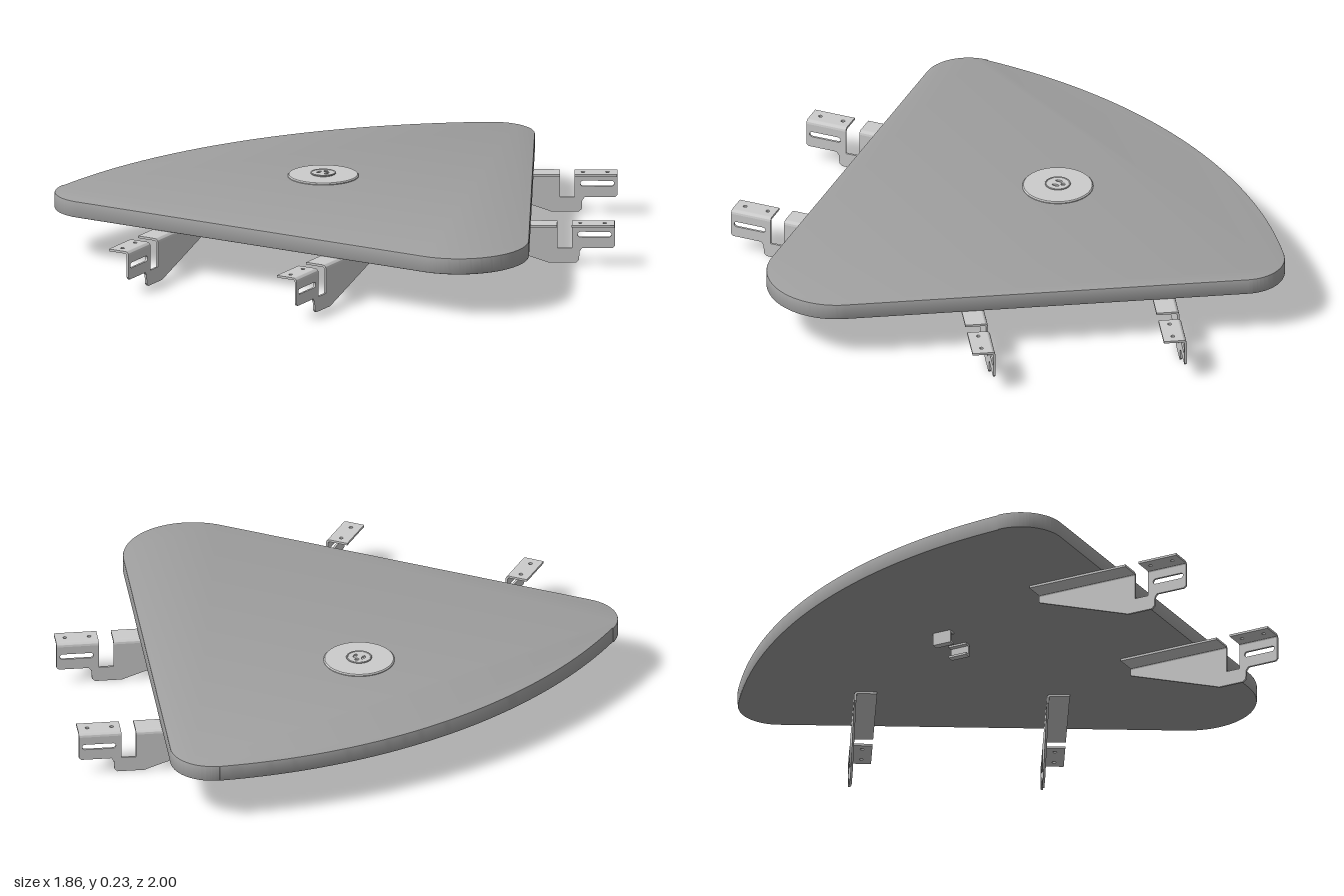
import * as THREE from 'three';
import { toCreasedNormals } from 'three/addons/utils/BufferGeometryUtils.js';

const metal = new THREE.MeshStandardMaterial({ color: 0xcccccc });
const board = new THREE.MeshStandardMaterial({ color: 0xa0a0a0 });
const rad = THREE.MathUtils.degToRad;

function addMesh(parent, name, geometry, material = metal) {
  const mesh = new THREE.Mesh(toCreasedNormals(geometry, rad(30)), material);
  mesh.name = name;
  parent.add(mesh);
  return mesh;
}

const extrude = (shape, depth, options = {}) =>
  new THREE.ExtrudeGeometry(shape, { depth, bevelEnabled: false, curveSegments: 16, ...options });

const polygon = (points) => new THREE.Shape(points.map(([x, y]) => new THREE.Vector2(x, y)));

function circleHole(x, y, rx, ry = rx, turn = 0) {
  return new THREE.Path().absellipse(x, y, rx, ry, 0, Math.PI * 2, true, turn);
}

// Rounded three-sided tabletop: two straight edges and one bowed edge
function createTabletop(parent) {
  const s = new THREE.Shape();
  s.moveTo(-0.77, -0.7);
  s.absarc(0.66, -0.45, 0.25, rad(-90), rad(30), false);
  s.absarc(0.03, 0.85, 0.15, rad(30), rad(123), false);
  s.absarc(0.992, -0.635, 1.921, rad(123), rad(177), false);
  s.absarc(-0.77, -0.54, 0.16, rad(177), rad(270), false);
  const b = 0.005;
  const geo = extrude(s, 0.06 - 2 * b, {
    curveSegments: 40, bevelEnabled: true, bevelSize: b, bevelOffset: -b, bevelThickness: b, bevelSegments: 2,
  });
  geo.rotateX(-Math.PI / 2).translate(0, 0.157 + b, 0);
  addMesh(parent, 'tabletop', geo, board);
}

// Sheet-metal bracket; local origin is the outer end of the upright plate, +z points outward
function createBracket(name) {
  const bracket = new THREE.Group();
  bracket.name = name;
  const t = 0.008, top = 0.157, r = 0.014, width = 0.082;

  const plate = polygon([
    [-0.59, top - r], [-0.59, 0.122], [-0.245, 0.004], [-0.235, 0], [-0.138, 0], [-0.127, 0.01],
    [-0.125, 0.042], [-0.116, 0.054], [-0.008, 0.054], [0, 0.062], [0, top - r],
    [-0.152, top - r], [-0.152, 0.054], [-0.204, 0.054], [-0.204, top - r],
  ]);
  const slot = new THREE.Path();
  slot.absarc(-0.022, 0.104, 0.01, Math.PI / 2, -Math.PI / 2, true);
  slot.absarc(-0.122, 0.104, 0.01, -Math.PI / 2, -Math.PI * 1.5, true);
  plate.holes.push(slot);
  addMesh(bracket, 'uprightPlate', extrude(plate, t).rotateY(-Math.PI / 2));

  // Rounded bend and flat flange along each run of the plate
  for (const [part, z0, z1, holes] of [
    ['inner', -0.59, -0.204, []],
    ['outer', -0.152, 0, [-0.122, -0.035]],
  ]) {
    const bend = new THREE.Shape();
    bend.absarc(-r, top - r, r, 0, Math.PI / 2, false);
    bend.absarc(-r, top - r, r - t, Math.PI / 2, 0, true);
    addMesh(bracket, part + 'Bend', extrude(bend, z1 - z0).translate(0, 0, z0));

    const flange = polygon([[-width, -z1], [-r, -z1], [-r, -z0], [-width, -z0]]);
    for (const z of holes) flange.holes.push(circleHole(-0.046, -z, 0.007));
    addMesh(bracket, part + 'Flange', extrude(flange, t).rotateX(-Math.PI / 2).translate(0, top - t, 0));
  }
  return bracket;
}

// Round cover with a pierced socket hub
function createSocket(parent) {
  const socket = new THREE.Group();
  socket.name = 'socket';
  socket.position.set(-0.193, 0, -0.045);
  parent.add(socket);

  const cover = [[0, 0.215], [0.126, 0.215], [0.126, 0.22], [0.122, 0.224], [0, 0.224]];
  addMesh(socket, 'coverDisc', new THREE.LatheGeometry(cover.map(([x, y]) => new THREE.Vector2(x, y)), 64));

  const hub = new THREE.Shape().absarc(0, 0, 0.04, 0, Math.PI * 2, false);
  hub.holes.push(circleHole(-0.016, -0.002, 0.006, 0.013), circleHole(0.016, -0.002, 0.006, 0.013),
    circleHole(0, 0.02, 0.008));
  addMesh(socket, 'hub', extrude(hub, 0.006).rotateX(-Math.PI / 2).translate(0, 0.224, 0));

  const rim = new THREE.TorusGeometry(0.043, 0.003, 8, 48).rotateX(Math.PI / 2).translate(0, 0.229, 0);
  addMesh(socket, 'hubRim', rim);

  // Pair of channel-shaped clips under the tabletop
  const channel = [[0, 0.158], [0, 0.15], [0.018, 0.15], [0.018, 0.118], [0, 0.118], [0, 0.11],
    [0.026, 0.11], [0.026, 0.158]];
  for (const side of [-1, 1]) {
    const profile = polygon(channel.map(([x, y]) => [side * (0.046 + x), y]));
    addMesh(socket, side < 0 ? 'rightClip' : 'leftClip', extrude(profile, 0.07).translate(0, 0, -0.035));
  }
}

export function createModel() {
  const model = new THREE.Group();
  model.name = 'cornerTabletop';
  createTabletop(model);
  createSocket(model);

  // Two brackets on the front edge, two on the slanted edge
  for (const [name, x, z, turn] of [
    ['frontRightBracket', -0.377, 1, 0],
    ['frontLeftBracket', 0.317, 1, 0],
    ['sideBackBracket', 0.545, -0.85, 120],
    ['sideFrontBracket', 0.886, -0.256, 120],
  ]) {
    const bracket = createBracket(name);
    bracket.position.set(x, 0, z);
    bracket.rotation.y = rad(turn);
    model.add(bracket);
  }
  return model;
}
